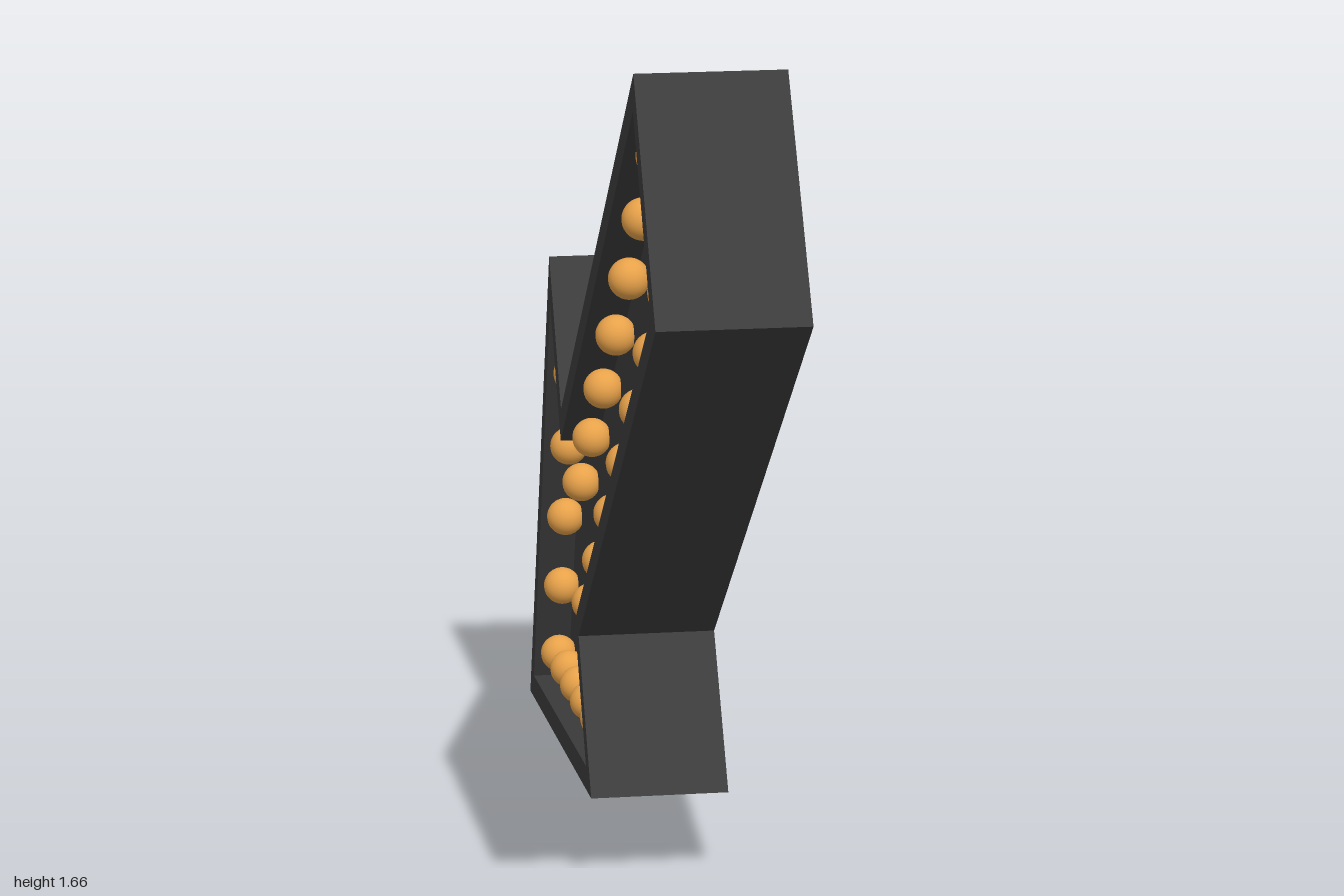
import * as THREE from 'three';

// Arrow frame: u runs from the tip along the shaft, v across it, w out of the open face
const HALF_DEPTH = 0.125, FLOOR = 0.055, RIM = 0.045;
const OUTLINE = [
  [0, 0], [0.96, -0.535], [0.96, -0.224], [2.38, -0.224],
  [2.38, 0.224], [0.96, 0.224], [0.96, 0.535],
].map(([u, v]) => new THREE.Vector2(u, v));

// Moves every edge of a counter-clockwise outline inwards by d, with mitred corners
function inset(points, d) {
  const n = points.length;
  return points.map((p, i) => {
    const a = p.clone().sub(points[(i + n - 1) % n]).normalize();
    const b = points[(i + 1) % n].clone().sub(p).normalize();
    const na = new THREE.Vector2(-a.y, a.x), nb = new THREE.Vector2(-b.y, b.x);
    const mitre = na.clone().add(nb);
    return p.clone().addScaledVector(mitre, d / (1 + na.dot(nb)));
  });
}

function slab(name, shape, from, to, material) {
  const geometry = new THREE.ExtrudeGeometry(shape, { depth: to - from, bevelEnabled: false });
  geometry.translate(0, 0, from);
  const mesh = new THREE.Mesh(geometry, material);
  mesh.name = name;
  return mesh;
}

export function createModel() {
  const model = new THREE.Group();
  model.name = 'marqueeArrow';
  const dark = new THREE.MeshStandardMaterial({ color: 0x3c3c3c });
  const amber = new THREE.MeshStandardMaterial({ color: 0xe8a24a });

  const arrow = new THREE.Group();
  arrow.name = 'arrow';
  model.add(arrow);

  // Solid backing and the raised rim around the recess
  arrow.add(slab('backPanel', new THREE.Shape(OUTLINE), -HALF_DEPTH, FLOOR, dark));
  const rimShape = new THREE.Shape(OUTLINE);
  rimShape.holes.push(new THREE.Path(inset(OUTLINE, RIM).reverse()));
  arrow.add(slab('rim', rimShape, FLOOR, HALF_DEPTH, dark));

  // Bulbs: one at the tip, then mirrored rows along the head and the shaft
  const bulbs = new THREE.Group();
  bulbs.name = 'bulbs';
  arrow.add(bulbs);
  const bulbGeometry = new THREE.SphereGeometry(0.036, 24, 16);
  const addBulb = (u, v) => {
    const bulb = new THREE.Mesh(bulbGeometry, amber);
    bulb.name = 'bulb';
    bulb.position.set(u, v, 0.085);
    bulbs.add(bulb);
  };
  addBulb(0.225, 0);
  for (const side of [-1, 1]) {
    for (let i = 1; i <= 4; i++) addBulb(0.225 + 0.154 * i, side * 0.086 * i);
    for (const u of [0.85, 1.075, 1.31, 1.555, 1.8, 2.045, 2.29]) addBulb(u, side * 0.12);
  }

  // Tilt so the tip points down and back, with the open face towards -x
  const along = new THREE.Vector3(0, 0.624, 0.7815).normalize();
  const out = new THREE.Vector3(-1, 0, 0);
  const across = out.clone().cross(along);
  arrow.quaternion.setFromRotationMatrix(new THREE.Matrix4().makeBasis(along, across, out));
  arrow.position.set(0, 0, -1);
  return model;
}
